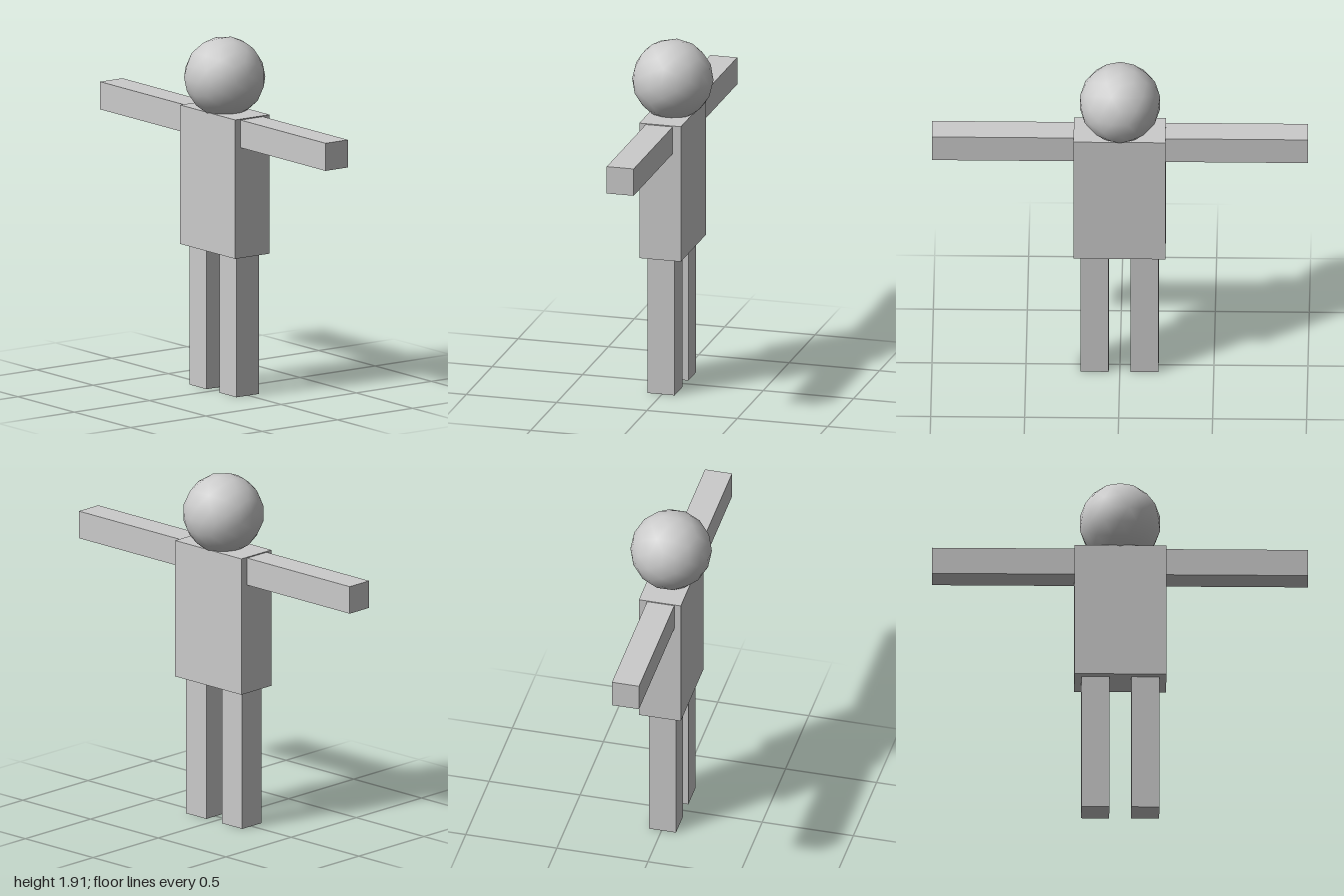
import * as THREE from 'three';

export function createModel() {
  const model = new THREE.Group();
  model.name = 'figure';
  const material = new THREE.MeshStandardMaterial({ color: 0xcccccc });

  const add = (name, geometry, x, y, z) => {
    const mesh = new THREE.Mesh(geometry, material);
    mesh.name = name;
    mesh.position.set(x, y, z);
    model.add(mesh);
  };
  // Box given by its lower and upper corners
  const addBox = (name, [x0, y0, z0], [x1, y1, z1]) =>
    add(name, new THREE.BoxGeometry(x1 - x0, y1 - y0, z1 - z0),
      (x0 + x1) / 2, (y0 + y1) / 2, (z0 + z1) / 2);

  // Head: coarse faceted ball with smooth normals, sunk slightly into the torso
  add('head', new THREE.IcosahedronGeometry(0.217, 2), 0, 1.697, 0);

  addBox('torso', [-0.115, 0.763, -0.243], [0.115, 1.518, 0.246]);

  // Limbs sit slightly behind the torso's middle, arms stretched along z
  const back = -0.079, front = 0.07;
  addBox('frontArm', [back, 1.363, 0.246], [front, 1.513, 1]);
  addBox('backArm', [back, 1.363, -1], [front, 1.513, -0.243]);
  addBox('frontLeg', [back, 0, 0.059], [front, 0.763, 0.209]);
  addBox('backLeg', [back, 0, -0.206], [front, 0.763, -0.057]);

  return model;
}
